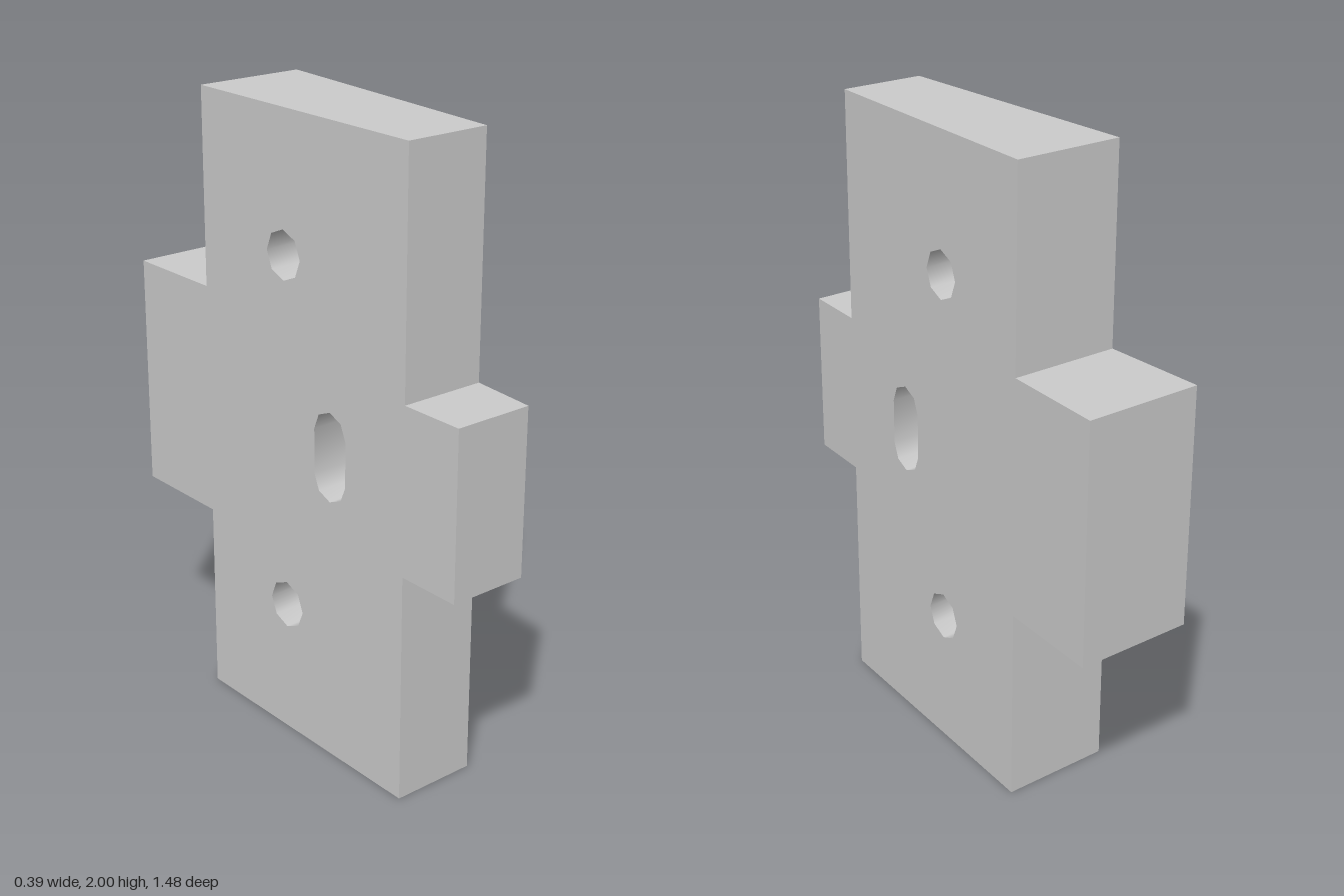
import * as THREE from 'three';
import { toCreasedNormals } from 'three/addons/utils/BufferGeometryUtils.js';

// Closed outline of a hole: a circle, or a slot when stretch > 0
function holePath(cx, cy, r, stretch = 0) {
  const points = [];
  for (const side of [1, -1]) {
    for (let i = 0; i <= 4; i++) {
      if (stretch === 0 && i === 4) continue; // halves share this point
      const a = (i / 4) * Math.PI + (side < 0 ? Math.PI : 0);
      points.push(new THREE.Vector2(cx + r * Math.cos(a), cy + side * stretch + r * Math.sin(a)));
    }
  }
  return new THREE.Path(points);
}

export function createModel() {
  const group = new THREE.Group();
  group.name = 'wedgePlate';

  // Side outline (back of the plate is +x here): tall body, short front tab, wide back tab
  const outline = new THREE.Shape([
    [-0.525, 0], [0.395, 0], [0.395, 0.625], [0.74, 0.625],
    [0.74, 1.38], [0.395, 1.38], [0.395, 2], [-0.525, 2],
    [-0.525, 1.265], [-0.74, 1.265], [-0.74, 0.74], [-0.525, 0.74],
  ].map(([x, y]) => new THREE.Vector2(x, y)));

  // Two round bolt holes and one upright slot
  outline.holes.push(
    holePath(0.01, 1.568, 0.077),
    holePath(0.01, 0.437, 0.077),
    holePath(-0.2, 1.002, 0.071, 0.071),
  );

  // Extrude sideways, then taper the left face so it thins toward the front
  const geometry = new THREE.ExtrudeGeometry(outline, { depth: 1, bevelEnabled: false });
  const pos = geometry.attributes.position;
  for (let i = 0; i < pos.count; i++) {
    pos.setZ(i, pos.getZ(i) > 0.5 ? 0.13 + 0.088 * pos.getX(i) : -0.195);
  }
  geometry.rotateY(Math.PI / 2);

  const plate = new THREE.Mesh(
    toCreasedNormals(geometry, THREE.MathUtils.degToRad(50)),
    new THREE.MeshStandardMaterial({ color: 0xcccccc }),
  );
  plate.name = 'taperedPlate';
  group.add(plate);
  return group;
}
